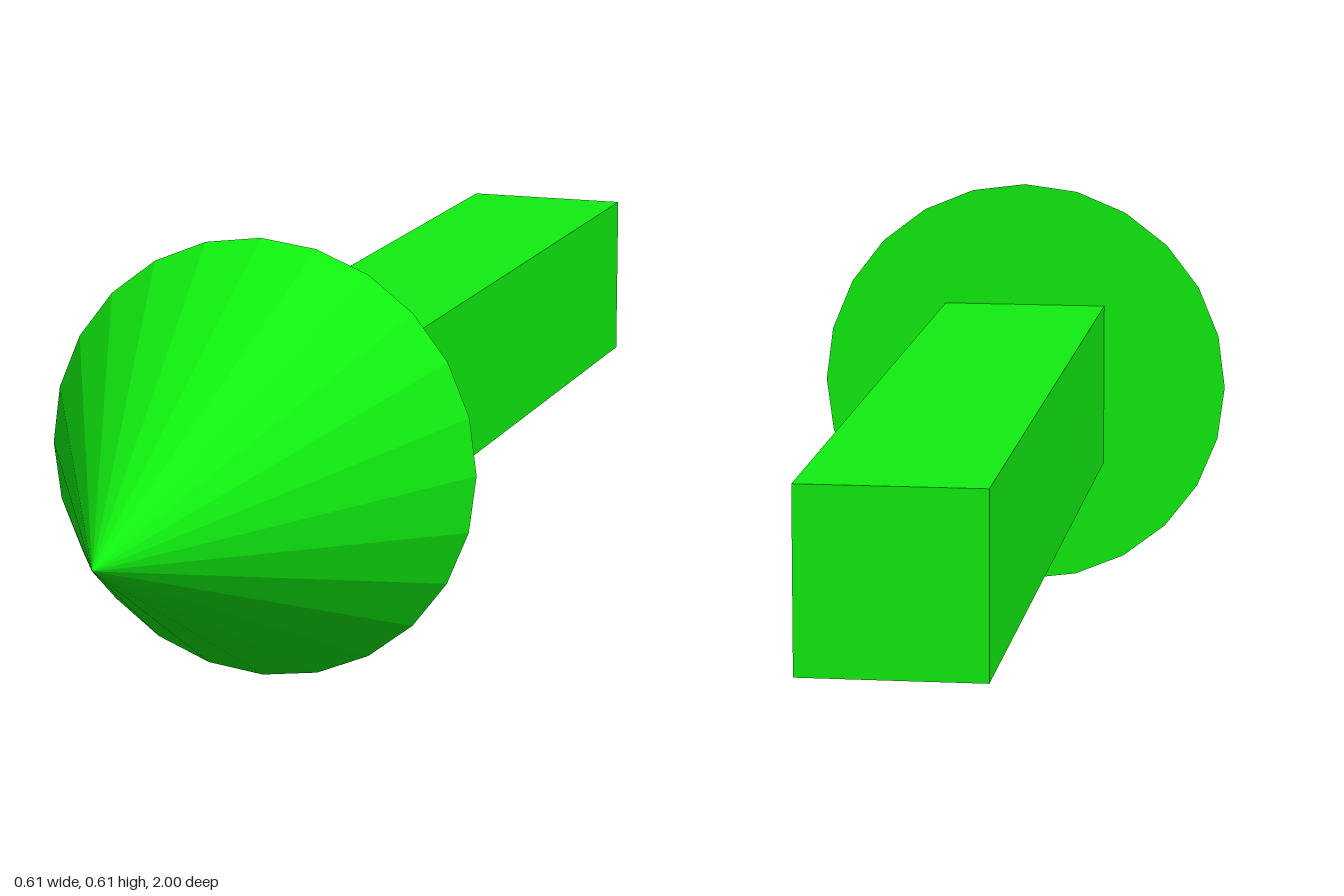
import * as THREE from 'three';

export function createModel() {
  const model = new THREE.Group();
  const material = new THREE.MeshStandardMaterial({ color: 0x10ee10, flatShading: true });

  const baseZ = 0.385;   // where the head meets the shaft
  const tail = 1.382;    // shaft length
  const tip = 0.615;     // head length

  // The arrow is turned very slightly about the vertical axis
  const arrow = new THREE.Group();
  arrow.name = 'arrow';
  arrow.position.set(0, 0.308, baseZ);
  arrow.rotation.y = 0.0165;
  model.add(arrow);

  // Faceted cone, apex towards +z
  const head = new THREE.Mesh(
    new THREE.ConeGeometry(0.307, tip, 24).rotateX(Math.PI / 2).translate(0, 0, tip / 2),
    material
  );
  head.name = 'arrowHead';

  // Square shaft running back from the head
  const shaft = new THREE.Mesh(
    new THREE.BoxGeometry(0.244, 0.244, tail).translate(0, 0, -tail / 2),
    material
  );
  shaft.name = 'arrowShaft';

  arrow.add(head, shaft);
  return model;
}
